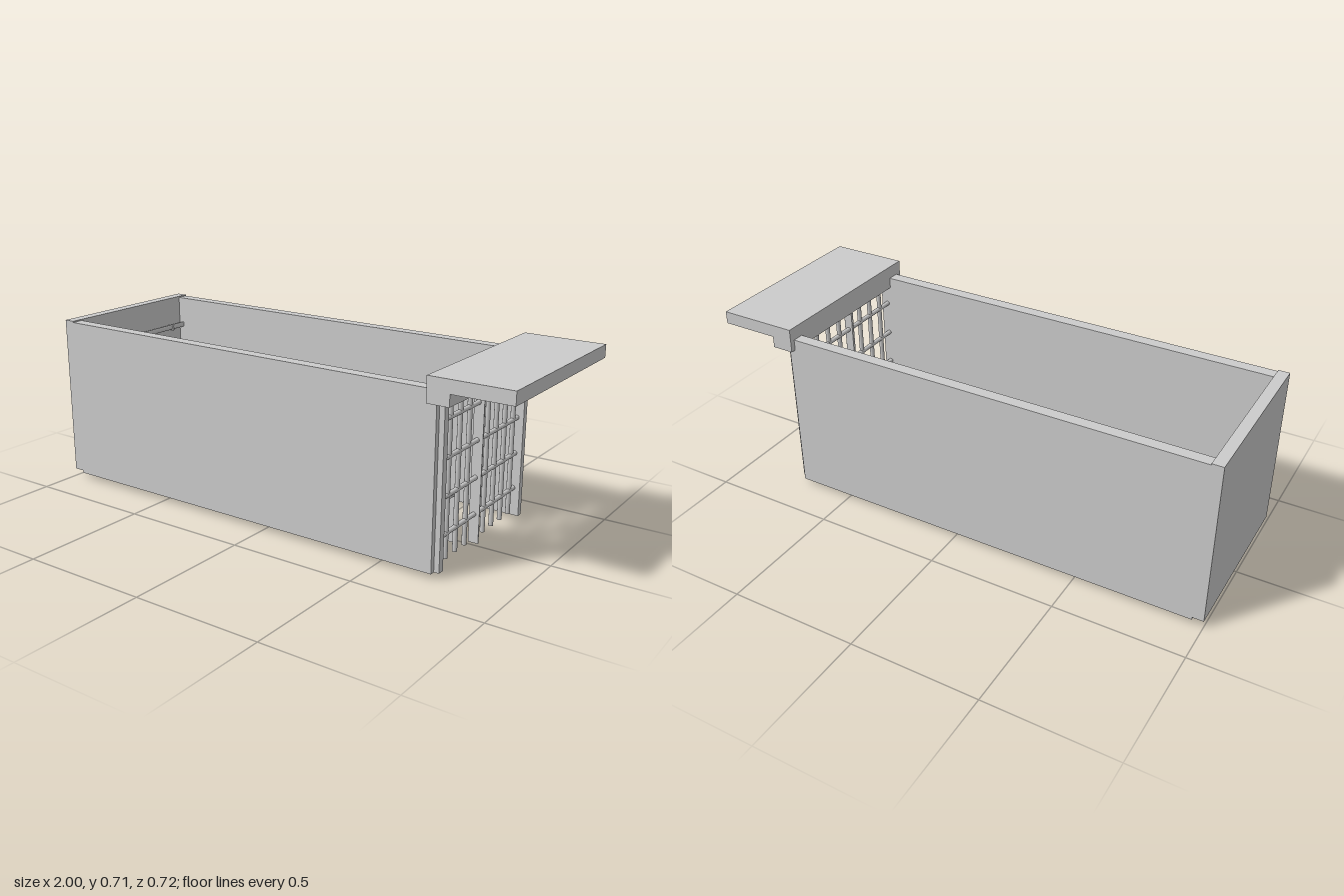
import * as THREE from 'three';

const material = new THREE.MeshStandardMaterial({ color: 0xcccccc, side: THREE.DoubleSide });

export function createModel() {
  const model = new THREE.Group();

  function add(name, geometry) {
    const mesh = new THREE.Mesh(geometry, material);
    mesh.name = name;
    model.add(mesh);
    return mesh;
  }
  // Box given by its limits along each axis
  function box(name, x0, x1, y0, y1, z0, z1) {
    const mesh = add(name, new THREE.BoxGeometry(x1 - x0, y1 - y0, z1 - z0));
    mesh.position.set((x0 + x1) / 2, (y0 + y1) / 2, (z0 + z1) / 2);
    return mesh;
  }
  // Round bar between two points
  function bar(name, a, b, radius, sides = 16) {
    const from = new THREE.Vector3(...a), to = new THREE.Vector3(...b);
    const mesh = add(name, new THREE.CylinderGeometry(radius, radius, from.distanceTo(to), sides));
    mesh.position.copy(from).lerp(to, 0.5);
    mesh.quaternion.setFromUnitVectors(new THREE.Vector3(0, 1, 0), to.sub(from).normalize());
    return mesh;
  }

  // Walls: open at the top and bottom
  box('backWall', -1, -0.957, 0.03, 0.67, -0.34, 0.335);
  for (const [inner, mid, outer] of [[0.288, 0.315, 0.335], [-0.295, -0.32, -0.34]]) {
    const lo = Math.min, hi = Math.max;
    box('sideWall', -0.957, 0.69, 0.02, 0.665, lo(inner, outer), hi(inner, outer));
    box('outerPost', 0.69, 0.715, 0.02, 0.622, lo(mid, outer), hi(mid, outer));
    box('innerPost', 0.69, 0.735, 0.02, 0.622, lo(inner, mid), hi(inner, mid));
  }

  // Canopy over the barred end, with its beam and brackets
  box('canopy', 0.69, 1, 0.666, 0.715, -0.36, 0.362);
  box('canopyBeam', 0.69, 0.775, 0.622, 0.666, -0.36, 0.362);
  for (const z of [0.232, 0.018, -0.195]) {
    box('canopyBracket', 0.775, 0.95, 0.64, 0.666, z - 0.044, z + 0.044);
  }

  // Barred front and the door edge in the middle
  const barX = 0.708;
  for (const z of [0.226, 0.157, 0.088, -0.051, -0.12, -0.19, -0.259]) {
    bar('verticalBar', [barX, 0.037, z], [barX, 0.622, z], 0.009);
  }
  for (const y of [0.13, 0.269, 0.408, 0.546]) {
    bar('horizontalBar', [barX, y, -0.295], [barX, y, 0.29], 0.009);
  }
  box('doorStile', 0.69, 0.73, 0.02, 0.622, 0.018, 0.023);
  box('doorStop', 0.69, 0.725, 0.02, 0.622, 0.012, 0.0165);

  // Bunk: perforated sheet on two legs
  const sheet = new THREE.Shape();
  sheet.moveTo(-0.175, 0).lineTo(0.63, 0).lineTo(0.63, 0.288).lineTo(-0.175, 0.288).closePath();
  for (let i = 0; i < 16; i++) {
    for (let j = 0; j < 6; j++) {
      const x = -0.088 + i * 0.0435, z = 0.03 + j * 0.0445, h = 0.0145;
      const hole = new THREE.Path();
      hole.moveTo(x - h, z - h).lineTo(x - h, z + h).lineTo(x + h, z + h).lineTo(x + h, z - h).closePath();
      sheet.holes.push(hole);
    }
  }
  const bunk = add('bunkSheet', new THREE.ExtrudeGeometry(sheet, { depth: 0.008, bevelEnabled: false }));
  bunk.rotation.x = Math.PI / 2;
  bunk.position.y = 0.19;
  for (const x of [-0.175, 0.58]) box('bunkLeg', x, x + 0.05, 0, 0.183, 0, 0.022);

  // Two wall shelves on diagonal brackets
  for (const y of [0.322, 0.181]) {
    box('shelf', -0.495, -0.26, y - 0.01, y, -0.297, -0.122);
    for (const x of [-0.475, -0.28]) {
      box('bracketArm', x - 0.006, x + 0.006, y - 0.02, y - 0.01, -0.295, -0.13);
      const strut = box('bracketStrut', x - 0.006, x + 0.006, 0, 0.01, -0.105, 0.105);
      strut.position.set(x, y - 0.077, -0.212);
      strut.rotation.x = -Math.atan2(0.13, 0.16);
    }
  }

  // Towel rails with hooks along the back wall
  for (const y of [0.546, 0.461]) {
    const rail = bar('rail', [-0.937, y, -0.295], [-0.937, y, 0.288], 0.011);
    rail.scale.x = 0.4;
    for (const z of [0.2, -0.01, -0.222]) {
      box('hook', -0.957, -0.928, y - 0.014, y + 0.006, z - 0.005, z + 0.005);
    }
  }

  // Sink back plate with rounded corners
  const plate = new THREE.Shape();
  const w = 0.1, r = 0.035;
  plate.moveTo(-w, 0.265).lineTo(w, 0.265).lineTo(w, 0.373 - r).quadraticCurveTo(w, 0.373, w - r, 0.373);
  plate.lineTo(r - w, 0.373).quadraticCurveTo(-w, 0.373, -w, 0.373 - r).closePath();
  const splash = add('sinkBackPlate', new THREE.ExtrudeGeometry(plate, { depth: 0.006, bevelEnabled: false }));
  splash.rotation.y = Math.PI / 2;
  splash.position.set(-0.939, 0, -0.061);

  // Sink bowl: rectangular rings from the underside, over the rim, to the inner floor
  const rings = [ // y, back x, front x, half width
    [0.228, -0.93, -0.87, 0], [0.228, -0.93, -0.86, 0.062], [0.231, -0.932, -0.85, 0.074],
    [0.24, -0.933, -0.84, 0.083], [0.262, -0.933, -0.826, 0.094], [0.288, -0.933, -0.82, 0.1],
    [0.288, -0.922, -0.831, 0.088], [0.245, -0.905, -0.85, 0.058], [0.245, -0.88, -0.88, 0],
  ];
  const corners = rings.map(([y, a, b, h]) =>
    [[a, y, -0.061 - h], [a, y, -0.061 + h], [b, y, -0.061 + h], [b, y, -0.061 - h]]);
  const points = [];
  for (let i = 0; i + 1 < rings.length; i++) {
    for (let j = 0; j < 4; j++) {
      const k = (j + 1) % 4;
      const [a, b, c, d] = [corners[i][j], corners[i][k], corners[i + 1][k], corners[i + 1][j]];
      points.push(...a, ...b, ...c, ...a, ...c, ...d);
    }
  }
  const bowl = new THREE.BufferGeometry();
  bowl.setAttribute('position', new THREE.Float32BufferAttribute(points, 3));
  bowl.computeVertexNormals();
  add('sinkBowl', bowl);

  // Drain pipe bending into the wall
  const drain = new THREE.CatmullRomCurve3([
    [-0.88, 0.232, -0.067], [-0.88, 0.19, -0.067], [-0.886, 0.17, -0.067],
    [-0.902, 0.164, -0.067], [-0.957, 0.164, -0.067],
  ].map((p) => new THREE.Vector3(...p)));
  add('drainPipe', new THREE.TubeGeometry(drain, 24, 0.009, 14));

  return model;
}
